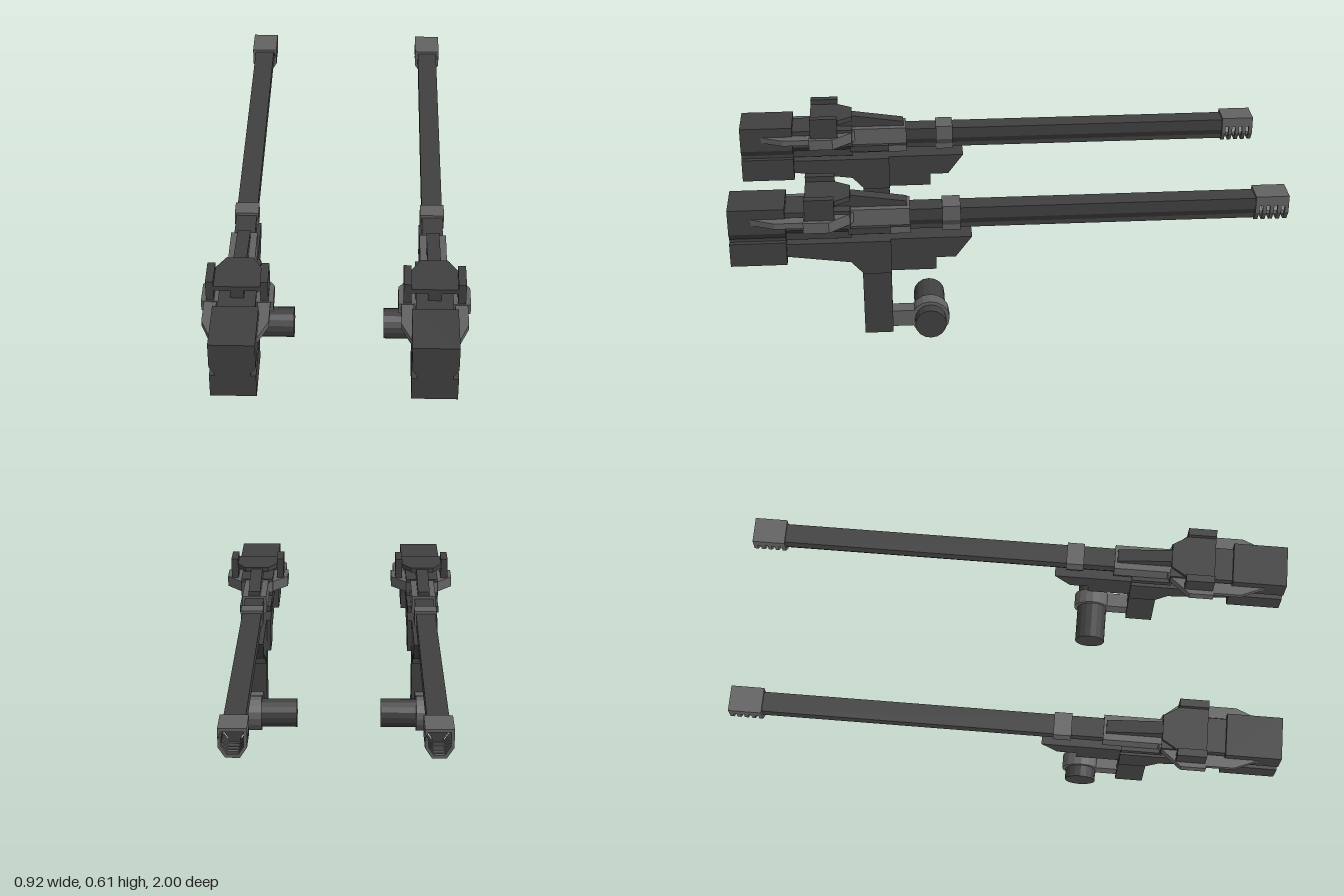
import * as THREE from 'three';

const dark = new THREE.MeshStandardMaterial({ color: 0x404040, flatShading: true });
const light = new THREE.MeshStandardMaterial({ color: 0x626262, flatShading: true });

const shapeOf = (pts) => new THREE.Shape(pts.map(([a, b]) => new THREE.Vector2(a, b)));
const extrude = (pts, depth) =>
  new THREE.ExtrudeGeometry(shapeOf(pts), { depth, bevelEnabled: false });

// Right half of an outline, completed by mirroring in x
const mirrored = (half) => [...half, ...half.map(([x, y]) => [-x, y]).reverse()];

// Cross-section (x, y) running from z0 to z1
const alongZ = (pts, z0, z1) => extrude(pts, z1 - z0).translate(0, 0, z0);

// Side outline (z, y) with the given half width
const sideSlab = (pts, half) =>
  extrude(pts, half * 2).translate(0, 0, -half).rotateY(-Math.PI / 2);

// Plan outline (x, z) between two heights
const planSlab = (pts, y0, y1) =>
  extrude(pts, y1 - y0).rotateX(Math.PI / 2).translate(0, y1, 0);

// Box given by its limits
const box = (x0, x1, y0, y1, z0, z1) =>
  new THREE.BoxGeometry(x1 - x0, y1 - y0, z1 - z0)
    .translate((x0 + x1) / 2, (y0 + y1) / 2, (z0 + z1) / 2);

// Square-topped section that tapers to a narrow keel
const keelSection = (wide, narrow, top, mid, low, bottom) =>
  mirrored([[narrow, bottom], [narrow, low], [wide, mid], [wide, top]]);

function createGun(side) {
  const gun = new THREE.Group();
  const add = (name, geometry, material = dark) => {
    const mesh = new THREE.Mesh(geometry, material);
    mesh.name = name;
    gun.add(mesh);
  };

  // Rear block with a notch along each side
  add('rearBlock', alongZ(mirrored([
    [0.078, 0.345], [0.078, 0.434], [0.06, 0.434],
    [0.06, 0.446], [0.078, 0.472], [0.078, 0.567],
  ]), 0.8, 1));

  // Upper body, receiver, barrel and its collar
  add('upperBody', alongZ(keelSection(0.064, 0.045, 0.545, 0.475, 0.455, 0.428), 0.57, 0.81));
  add('receiver', alongZ(keelSection(0.047, 0.032, 0.54, 0.475, 0.46, 0.433), 0.36, 0.575), light);
  add('barrel', alongZ(keelSection(0.037, 0.02, 0.53, 0.487, 0.461, 0.444), -0.89, 0.4));
  add('barrelCollar', alongZ(keelSection(0.043, 0.025, 0.54, 0.485, 0.458, 0.437), 0.18, 0.245), light);

  // Hollow muzzle: continuous hood above, separate ribs below
  add('muzzleHood', alongZ(mirrored([
    [0.037, 0.503], [0.048, 0.503], [0.048, 0.54], [0.037, 0.54],
  ].slice(0, 3)).concat([[-0.037, 0.503], [-0.037, 0.529], [0.037, 0.529]]).slice(1), -1, -0.88), light);
  const rib = mirrored([[0.024, 0.438], [0.048, 0.475], [0.048, 0.503]])
    .concat([[-0.037, 0.503], [-0.037, 0.478], [-0.018, 0.449],
      [0.018, 0.449], [0.037, 0.478], [0.037, 0.503]]);
  // Reorder so the U outline closes across its open top
  const ribOutline = [...rib.slice(0, 3), ...rib.slice(6).reverse(), ...rib.slice(3, 6)];
  for (let i = 0; i < 5; i++) {
    const z = -1 + i * 0.0265;
    add('muzzleRib', alongZ(ribOutline, z, z + 0.014), light);
  }

  // Lower body and narrower fore-end
  add('lowerBody', sideSlab([
    [0.81, 0.417], [0.81, 0.369], [0.575, 0.337], [0.53, 0.287], [0.43, 0.287], [0.43, 0.417],
  ], 0.06));
  add('foreEnd', sideSlab([
    [0.43, 0.417], [0.43, 0.289], [0.27, 0.289], [0.27, 0.337], [0.2, 0.337], [0.14, 0.417],
  ], 0.044));

  // Grip, and the cross handle carried by a ring in front of it
  add('grip', box(-0.041, 0.041, 0.027, 0.3, 0.432, 0.535));
  add('handleBracket', box(-0.027, 0.027, 0.043, 0.107, 0.33, 0.44), light);
  const handle = (radius, x0, x1) =>
    new THREE.CylinderGeometry(radius, radius, x1 - x0, 16)
      .rotateZ(Math.PI / 2)
      .translate((side * (x0 + x1)) / 2, 0.071, 0.295);
  add('crossHandle', handle(0.057, -0.168, 0.07));
  add('handleRing', handle(0.07, -0.027, 0.027), light);

  // Side wings and the arms trailing behind them
  add('sideWings', planSlab(mirrored([
    [0.047, 0.56], [0.062, 0.57], [0.123, 0.645], [0.123, 0.735],
  ]), 0.492, 0.533), light);
  for (const s of [-1, 1]) {
    add('wingArm', planSlab([
      [0.07, 0.72], [0.113, 0.72], [0.113, 0.835], [0.078, 0.92], [0.07, 0.92],
    ].map(([x, z]) => [s * x, z]), 0.508, 0.53), light);
    add('sightPost', s > 0
      ? box(0.079, 0.106, 0.53, 0.613, 0.625, 0.73)
      : box(-0.106, -0.079, 0.53, 0.613, 0.625, 0.73));
    // Slim rail beside the receiver
    add('sideRail', box(s * 0.054 - 0.008, s * 0.054 + 0.008, 0.45, 0.475, 0.43, 0.58));
  }

  // Bridge plate between the posts, with a ridge sloping down in front
  add('bridgePlate', planSlab(mirrored([
    [0.045, 0.57], [0.082, 0.63], [0.082, 0.73],
  ]), 0.575, 0.593));
  add('slopingRidge', sideSlab([
    [0.73, 0.54], [0.37, 0.535], [0.37, 0.557], [0.6, 0.592], [0.73, 0.592],
  ], 0.023));

  gun.position.x = side * 0.335;
  return gun;
}

export function createModel() {
  const model = new THREE.Group();
  model.name = 'twinGuns';
  for (const side of [-1, 1]) {
    const gun = createGun(side);
    gun.name = side > 0 ? 'leftGun' : 'rightGun';
    model.add(gun);
  }
  return model;
}
